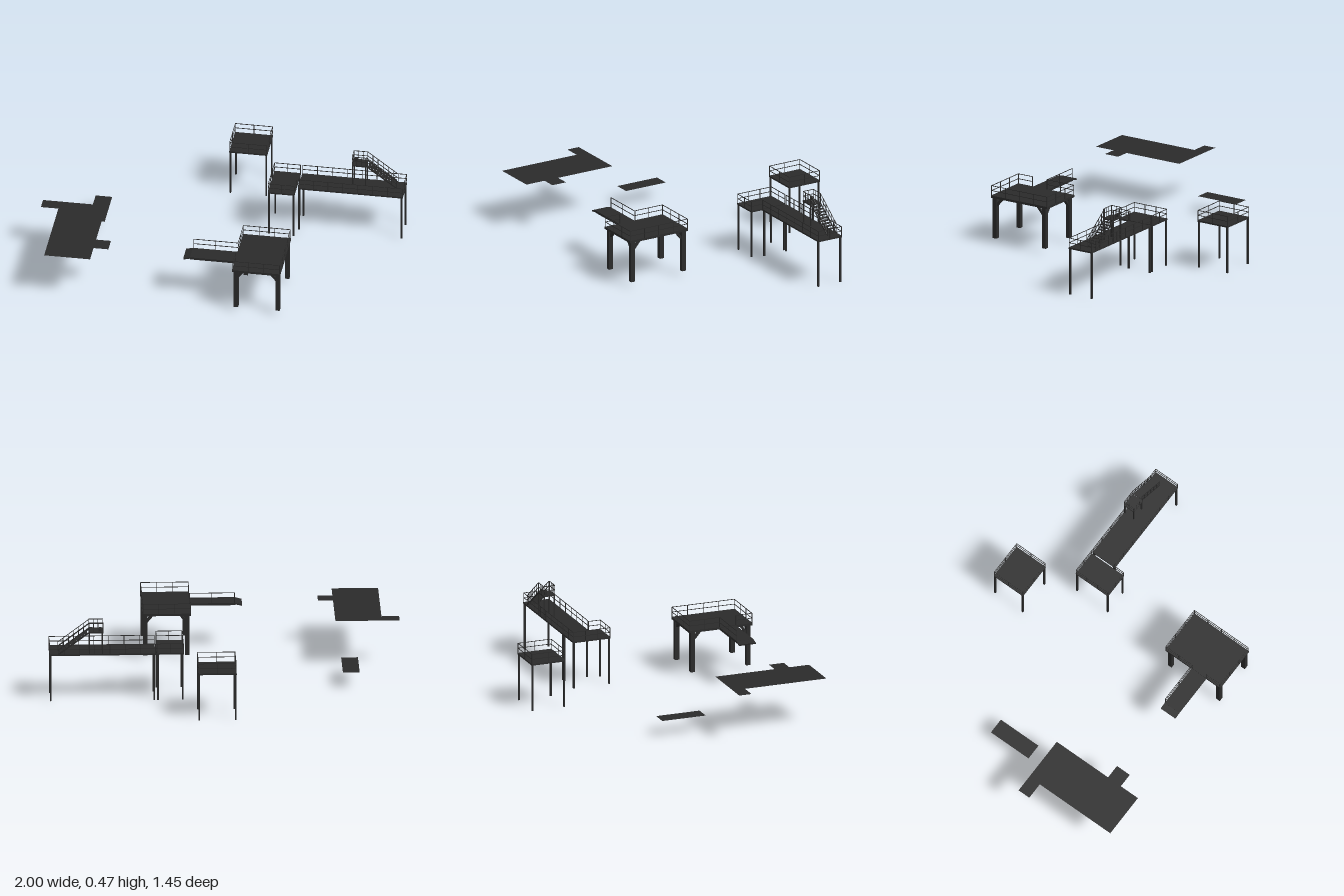
import * as THREE from 'three';

const material = new THREE.MeshStandardMaterial({ color: 0x2a2a2a, side: THREE.DoubleSide });

function add(parent, name, geometry) {
  const mesh = new THREE.Mesh(geometry, material);
  mesh.name = name;
  parent.add(mesh);
  return mesh;
}

function group(parent, name) {
  const g = new THREE.Group();
  g.name = name;
  parent.add(g);
  return g;
}

// Box given by its limits along each axis
function box(parent, name, x0, x1, y0, y1, z0, z1) {
  const mesh = add(parent, name, new THREE.BoxGeometry(x1 - x0, y1 - y0, z1 - z0));
  mesh.position.set((x0 + x1) / 2, (y0 + y1) / 2, (z0 + z1) / 2);
  return mesh;
}

// Thin square bar between two points
function bar(parent, name, a, b, t = 0.003, w = t) {
  const p = new THREE.Vector3(...a), q = new THREE.Vector3(...b);
  const mesh = add(parent, name, new THREE.BoxGeometry(w, t, p.distanceTo(q)));
  mesh.position.copy(p).add(q).multiplyScalar(0.5);
  mesh.lookAt(q);
  return mesh;
}

// Two rails and evenly spaced posts along a path of [x, y, z] floor points
function railing(parent, path, height = 0.058, spacing = 0.1) {
  const g = group(parent, 'railing');
  for (let i = 0; i + 1 < path.length; i++) {
    const a = new THREE.Vector3(...path[i]), b = new THREE.Vector3(...path[i + 1]);
    for (const h of [height / 2, height]) {
      bar(g, 'rail', [a.x, a.y + h, a.z], [b.x, b.y + h, b.z]);
    }
    const n = Math.max(1, Math.round(a.distanceTo(b) / spacing));
    for (let k = 0; k <= n; k++) {
      const p = a.clone().lerp(b, k / n);
      box(g, 'post', p.x - 0.0015, p.x + 0.0015, p.y, p.y + height, p.z - 0.0015, p.z + 0.0015);
    }
  }
}

// Legs at every combination of the given x and z
function legs(parent, xs, zs, y0, y1, t) {
  for (const x of xs) for (const z of zs) {
    box(parent, 'leg', x - t / 2, x + t / 2, y0, y1, z - t / 2, z + t / 2);
  }
}

// Paper-thin floor outlined by [x, z] corners
function floorPlate(parent, name, y, corners) {
  const shape = new THREE.Shape(corners.map(([x, z]) => new THREE.Vector2(x, -z)));
  const mesh = add(parent, name, new THREE.ShapeGeometry(shape));
  mesh.rotation.x = -Math.PI / 2;
  mesh.position.y = y;
}

export function createModel() {
  const model = new THREE.Group();
  const top = 0.279;

  // Free floor plates on the right
  floorPlate(model, 'largeFloor', 0.28, [
    [-1, 0.15], [-0.637, 0.15], [-0.637, 0.51], [-0.552, 0.51], [-0.552, 0.6],
    [-0.637, 0.6], [-0.637, 0.72], [-0.9, 0.72], [-0.9, 0.225], [-1, 0.225],
  ]);
  floorPlate(model, 'smallFloor', 0.1, [
    [-0.76, -0.222], [-0.665, -0.222], [-0.665, 0.042], [-0.76, 0.042],
  ]);

  // Main platform with heavy legs and braces
  const main = group(model, 'mainPlatform');
  box(main, 'deck', 0.172, 0.447, 0.266, top, 0.315, 0.7);
  legs(main, [0.193, 0.431], [0.34, 0.678], 0.028, 0.27, 0.025);
  for (const [x, sx] of [[0.193, 1], [0.431, -1]]) {
    for (const [z, sz] of [[0.34, 1], [0.678, -1]]) {
      bar(main, 'brace', [x, 0.222, z + sz * 0.008], [x, 0.266, z + sz * 0.046], 0.014);
      bar(main, 'brace', [x + sx * 0.008, 0.228, z], [x + sx * 0.04, 0.266, z], 0.014);
    }
  }
  railing(main, [[0.175, top, 0.6], [0.175, top, 0.697], [0.444, top, 0.697],
    [0.444, top, 0.318], [0.175, top, 0.318], [0.175, top, 0.5]]);

  // Gangway with a drooping tip and one handrail
  const gangway = group(model, 'gangway');
  box(gangway, 'deck', -0.085, 0.175, 0.268, 0.276, 0.5, 0.602);
  bar(gangway, 'tip', [-0.083, 0.272, 0.551], [-0.122, 0.262, 0.551], 0.008, 0.102);
  for (const z of [0.505, 0.597]) {
    box(gangway, 'stringer', -0.085, 0.175, 0.262, 0.27, z - 0.004, z + 0.004);
  }
  railing(gangway, [[-0.08, 0.276, 0.502], [0.175, 0.276, 0.502]], 0.06, 0.13);

  // Separate square tower at the back
  const tower = group(model, 'backTower');
  box(tower, 'deck', -0.045, 0.172, 0.27, top, -0.73, -0.525);
  legs(tower, [-0.039, 0.166], [-0.724, -0.531], 0, 0.272, 0.009);
  railing(tower, [[-0.043, top, -0.527], [0.17, top, -0.527], [0.17, top, -0.728],
    [-0.043, top, -0.728], [-0.043, top, -0.527]]);

  // Landing beside the walkway
  const landing = group(model, 'landing');
  box(landing, 'deck', 0.24, 0.392, 0.27, top, -0.365, -0.138);
  legs(landing, [0.246, 0.386], [-0.359, -0.144], 0, 0.272, 0.009);
  railing(landing, [[0.39, top, -0.212], [0.39, top, -0.14], [0.242, top, -0.14],
    [0.242, top, -0.363], [0.39, top, -0.363]], 0.055, 0.07);

  // Long walkway
  const walkway = group(model, 'walkway');
  box(walkway, 'deck', 0.4, 1, 0.27, top, -0.365, -0.208);
  legs(walkway, [0.407, 0.992], [-0.359, -0.214], 0, 0.272, 0.01);
  railing(walkway, [[0.402, top, -0.21], [0.998, top, -0.21], [0.998, top, -0.363],
    [0.402, top, -0.363]], 0.055, 0.085);

  // Raised lookout on the walkway
  const lookout = group(model, 'lookout');
  const high = 0.41;
  box(lookout, 'deck', 0.695, 0.778, 0.402, high, -0.363, -0.292);
  legs(lookout, [0.7, 0.773], [-0.358, -0.297], top, 0.404, 0.007);
  railing(lookout, [[0.776, high, -0.294], [0.697, high, -0.294], [0.697, high, -0.361],
    [0.776, high, -0.361]], 0.054, 0.03);
  box(lookout, 'controlBox', 0.704, 0.72, high, 0.427, -0.353, -0.338);

  // Stairs down to the walkway
  const stairs = group(model, 'stairs');
  const steps = 11;
  for (let i = 1; i < steps; i++) {
    const x = 0.778 + (0.17 * i) / steps, y = high - ((high - top) * i) / steps;
    box(stairs, 'tread', x - 0.008, x + 0.008, y - 0.004, y, -0.359, -0.302);
  }
  for (const z of [-0.361, -0.3]) {
    bar(stairs, 'stringer', [0.776, 0.406, z], [0.95, 0.277, z], 0.008, 0.003);
    railing(stairs, [[0.776, high, z], [0.95, top, z]], 0.054, 0.036);
  }

  return model;
}
